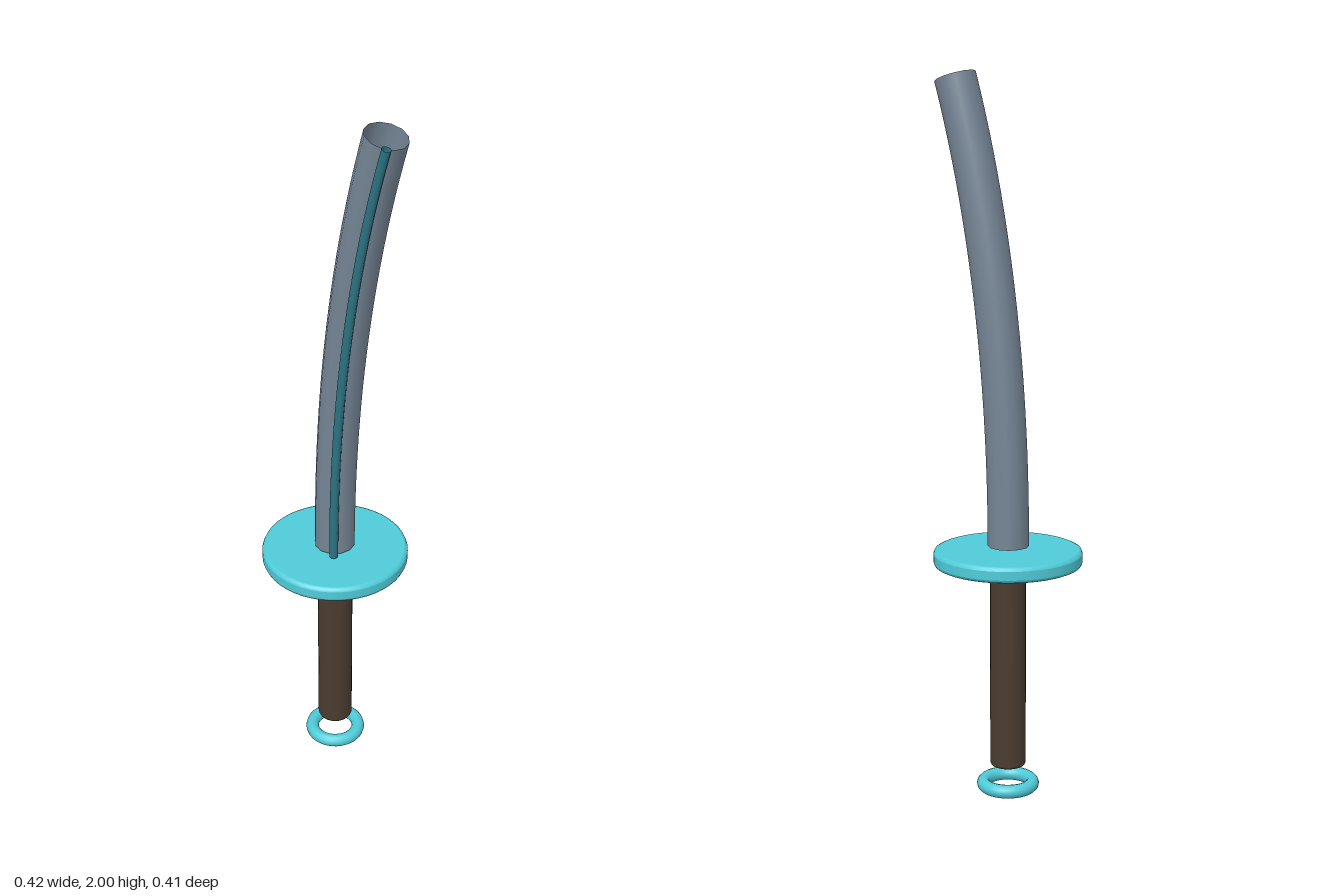
import * as THREE from 'three';

const AXIS_X = -0.007;

function mat(color, side = THREE.FrontSide) {
  return new THREE.MeshStandardMaterial({ color, side });
}

function add(group, name, geometry, material) {
  const mesh = new THREE.Mesh(geometry, material);
  mesh.name = name;
  group.add(mesh);
  return mesh;
}

// Solid disc or rod between two heights with a small bevel on both rims
function bevelledRod(radius, y0, y1, bevel, segments) {
  const rings = [
    [0, y0], [radius - bevel, y0], [radius - bevel, y0],
    [radius - bevel * 0.3, y0 + bevel * 0.3], [radius, y0 + bevel], [radius, y0 + bevel],
    [radius, y1 - bevel], [radius, y1 - bevel], [radius - bevel * 0.3, y1 - bevel * 0.3],
    [radius - bevel, y1], [radius - bevel, y1], [0, y1],
  ].map(([x, y]) => new THREE.Vector2(x, y));
  return new THREE.LatheGeometry(rings, segments);
}

// Open tube that rises straight and then leans toward +x
function sweptTube(x0, x1, yTop, z, radius, sides) {
  const path = new THREE.QuadraticBezierCurve3(
    new THREE.Vector3(x0, 0.715, z),
    new THREE.Vector3(x0, 1.42, z),
    new THREE.Vector3(x1, yTop, z),
  );
  return new THREE.TubeGeometry(path, 24, radius, sides, false);
}

export function createModel() {
  const sword = new THREE.Group();
  sword.name = 'curvedSword';
  const cyan = mat(0x4fcbd8);

  // Pommel ring lying flat under the grip
  const ring = add(sword, 'pommelRing', new THREE.TorusGeometry(0.069, 0.019, 12, 32), cyan);
  ring.rotation.x = Math.PI / 2;
  ring.position.set(AXIS_X, 0.022, 0);

  // Grip
  add(sword, 'grip', bevelledRod(0.05, 0.077, 0.635, 0.008, 24), mat(0x4a3c30)).position.x = AXIS_X;

  // Round guard
  add(sword, 'guard', bevelledRod(0.206, 0.662, 0.706, 0.01, 48), cyan).position.x = AXIS_X;

  // Hollow curved blade and the thin edge strip along its front
  add(sword, 'blade', sweptTube(-0.008, 0.156, 1.985, 0, 0.057, 12), mat(0x758595, THREE.DoubleSide));
  add(sword, 'edgeStrip', sweptTube(0.034, 0.2, 1.98, 0.052, 0.0125, 8), mat(0x2d7583, THREE.DoubleSide));

  return sword;
}
